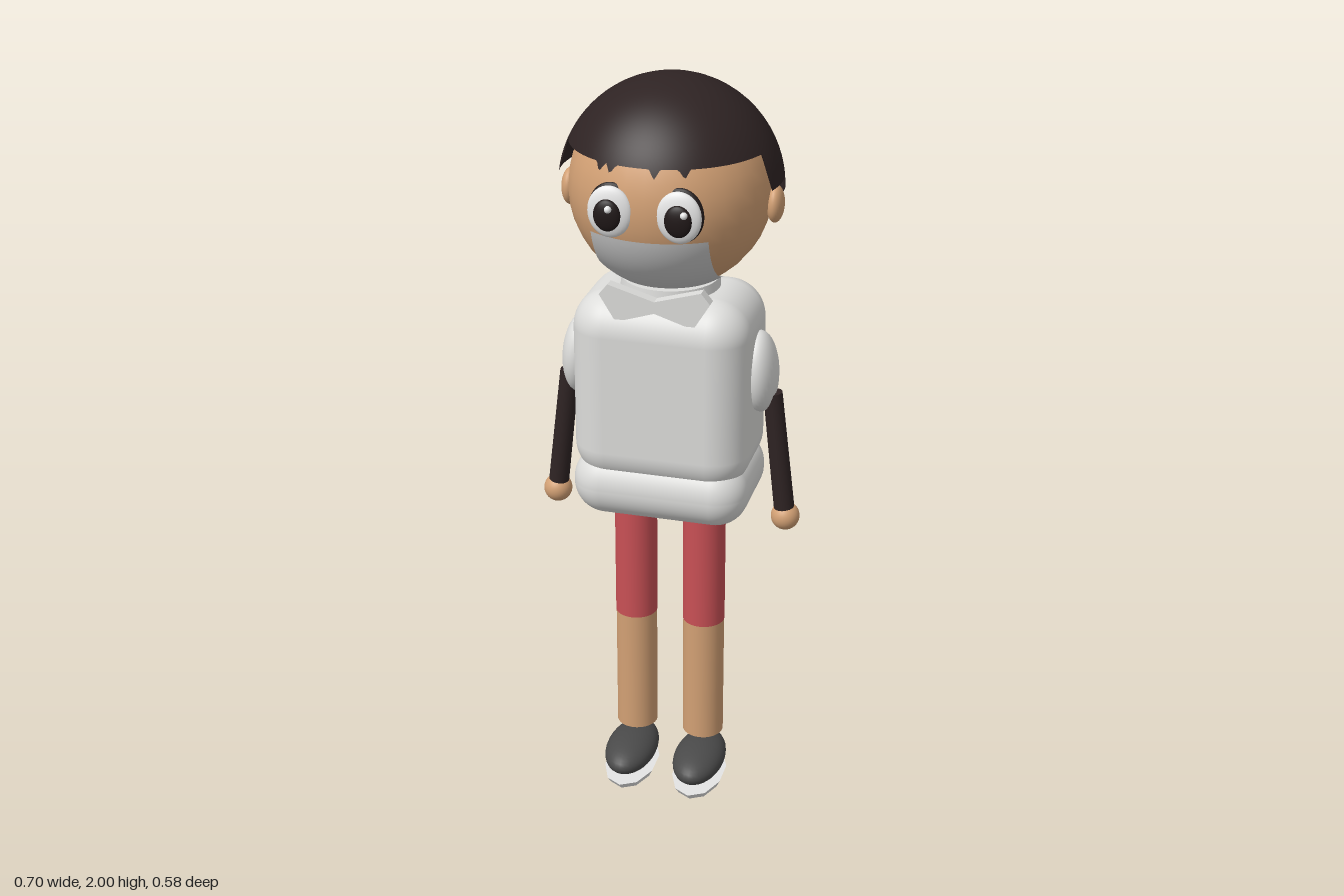
import * as THREE from 'three';
import { RoundedBoxGeometry } from 'three/addons/geometries/RoundedBoxGeometry.js';

const mat = (name, color, side = THREE.FrontSide) => {
  const m = new THREE.MeshStandardMaterial({ color, side });
  m.name = name;
  return m;
};

export function createModel() {
  const M = {
    hair: mat('hair brown', 0x2e2323, THREE.DoubleSide),
    skin: mat('skin', 0xd2a074),
    cloth: mat('shirt white', 0xdcdcda),
    mask: mat('mask grey', 0xc8c8c8, THREE.DoubleSide),
    shorts: mat('shorts red', 0xc85055),
    shoe: mat('shoe grey', 0x4a4a4a),
    white: mat('bright white', 0xececec),
    pupil: mat('pupil dark', 0x201818),
  };
  M.sole = mat('sole white', 0xe4e4e4);
  M.sole.flatShading = true;

  const root = new THREE.Group();
  root.name = 'character';
  const add = (name, geo, material, x = 0, y = 0, z = 0) => {
    const mesh = new THREE.Mesh(geo, material);
    mesh.name = name;
    mesh.position.set(x, y, z);
    root.add(mesh);
    return mesh;
  };
  const ball = (name, material, x, y, z, rx, ry = rx, rz = rx) =>
    add(name, new THREE.SphereGeometry(1, 32, 20).scale(rx, ry, rz), material, x, y, z);

  // Head
  const headY = 1.72, headR = 0.257;
  ball('head', M.skin, 0, headY, -0.005, headR);

  // Hair cap: a dome whose lower edge steps down from fringe to nape
  const hairR = 0.283;
  const hairline = (deg) => {
    const a = Math.abs(deg);
    if (a > 111) return 1.625;
    if (a > 104) return 1.70;
    if (a > 75) return 1.75;
    let y = 1.84;
    for (const tip of [-26, -19, 6, 22]) y -= Math.max(0, 0.022 - 0.007 * Math.abs(deg - tip));
    return y;
  };
  const hair = new THREE.SphereGeometry(1, 240, 20, 0, Math.PI * 2, 0, Math.PI / 2);
  const pos = hair.attributes.position, nor = hair.attributes.normal, uv = hair.attributes.uv;
  for (let i = 0; i < pos.count; i++) {
    const phi = uv.getX(i) * Math.PI * 2;
    const dx = -Math.cos(phi), dz = Math.sin(phi);
    const edge = hairline(THREE.MathUtils.radToDeg(Math.atan2(dx, dz)));
    const t = (1 - uv.getY(i)) * Math.acos((edge - 1.717) / hairR);
    const n = [dx * Math.sin(t), Math.cos(t), dz * Math.sin(t)];
    nor.setXYZ(i, ...n);
    pos.setXYZ(i, ...n.map((c) => c * hairR));
  }
  add('hair', hair, M.hair, 0, 1.717, -0.008);

  // Face mask: a sheet laid over the lower face
  const mask = new THREE.PlaneGeometry(2, 1, 24, 20);
  const mp = mask.attributes.position, maskR = 0.262;
  for (let i = 0; i < mp.count; i++) {
    const y = -0.145 + mp.getY(i) * 0.16;
    const ring = Math.sqrt(maskR * maskR - y * y);
    const x = mp.getX(i) * Math.min(0.148, ring * 0.97);
    mp.setXYZ(i, x, y, Math.sqrt(ring * ring - x * x));
  }
  mask.computeVertexNormals();
  add('faceMask', mask, M.mask, 0, headY, -0.005);

  // Collar and bow tie
  add('collar', new THREE.CylinderGeometry(0.125, 0.135, 0.08, 40), M.cloth, 0, 1.445, 0);
  for (const s of [-1, 1]) {
    const wing = new THREE.Shape(
      [[0, 1.437], [0.10, 1.405], [0.143, 1.475], [0.12, 1.503], [0, 1.468]]
        .map(([x, y]) => new THREE.Vector2(s * x, y)));
    const g = new THREE.ExtrudeGeometry(wing, { depth: 0.03, bevelEnabled: false });
    add('bowTieWing', g, M.cloth, 0, 0, 0.13);
  }

  // Shirt body and hem
  add('shirt', new RoundedBoxGeometry(0.466, 0.52, 0.333, 8, 0.1), M.cloth, 0, 1.2, 0.008);
  add('shirtHem', new RoundedBoxGeometry(0.468, 0.182, 0.344, 8, 0.088), M.cloth, 0, 0.931, 0.008);

  // Mirrored parts
  for (const s of [-1, 1]) {
    ball('ear', M.skin, s * 0.265, 1.692, -0.01, 0.022, 0.048, 0.038);

    // Eyes
    ball('eyeRim', M.pupil, s * 0.086, 1.725, 0.227, 0.058, 0.069, 0.015);
    ball('eyeWhite', M.white, s * 0.086, 1.725, 0.243, 0.056, 0.065, 0.019);
    ball('pupil', M.pupil, s * 0.088, 1.721, 0.261, 0.034, 0.04, 0.014);
    ball('eyeGlint', M.white, s * 0.093 + 0.013, 1.742, s < 0 ? 0.279 : 0.275, 0.009);

    // Arms
    const shoulder = ball('shoulder', M.cloth, s * 0.24, 1.246, 0.008, 0.046, 0.109, 0.077);
    shoulder.rotation.z = s * 0.06;
    const top = new THREE.Vector3(s * 0.273, 1.19, 0.008);
    const wrist = new THREE.Vector3(s * 0.311, 0.86, 0.008);
    const dir = top.clone().sub(wrist);
    const mid = top.clone().add(wrist).multiplyScalar(0.5);
    const arm = add('arm', new THREE.CylinderGeometry(0.025, 0.027, dir.length(), 24), M.hair, mid.x, mid.y, mid.z);
    arm.quaternion.setFromUnitVectors(new THREE.Vector3(0, 1, 0), dir.normalize());
    ball('hand', M.skin, s * 0.314, 0.838, 0.007, 0.038);

    // Legs and shoes
    add('shortsLeg', new THREE.CylinderGeometry(0.057, 0.057, 0.38, 32), M.shorts, s * 0.095, 0.685, 0.008);
    add('leg', new THREE.CylinderGeometry(0.056, 0.056, 0.36, 32), M.skin, s * 0.095, 0.317, 0.008);
    ball('shoe', M.shoe, s * 0.098, 0.069, 0.056, 0.07, 0.047, 0.126);
    const sole = new THREE.CylinderGeometry(1, 0.86, 0.022, 10).scale(0.072, 1, 0.128);
    add('sole', sole, M.sole, s * 0.098, 0.011, 0.056);
  }
  return root;
}
